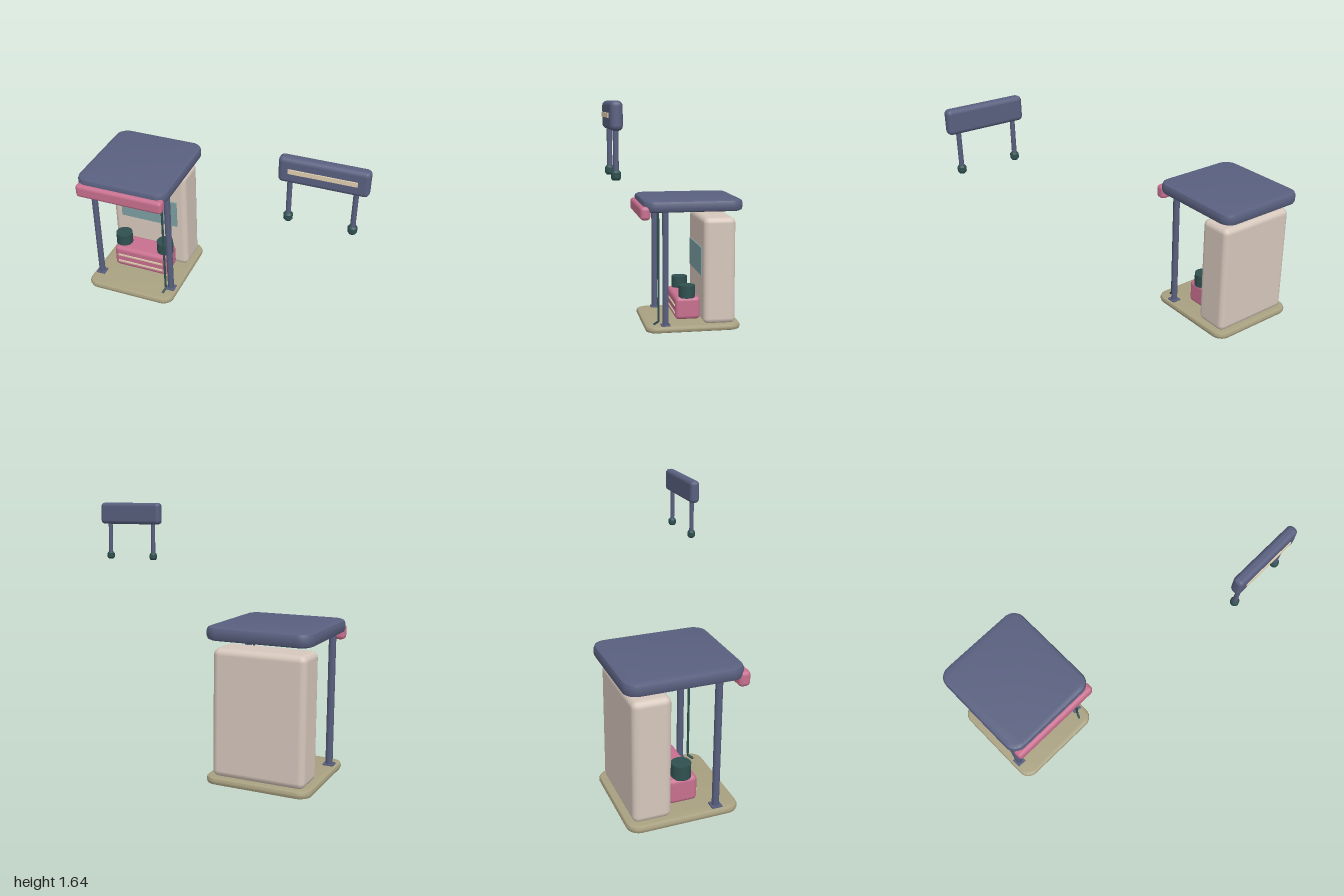
import * as THREE from 'three';
import { RoundedBoxGeometry } from 'three/addons/geometries/RoundedBoxGeometry.js';
import { toCreasedNormals } from 'three/addons/utils/BufferGeometryUtils.js';

const paint = (name, color) => {
  const m = new THREE.MeshStandardMaterial({ color });
  m.name = name;
  return m;
};

export function createModel() {
  const root = new THREE.Group();
  root.name = 'kioskAndSign';

  const navy = paint('navy', 0x59607f);
  const pink = paint('pink', 0xc8708f);
  const beige = paint('beige', 0xd6c7bc);
  const khaki = paint('khaki', 0xa8a080);
  const teal = paint('teal', 0x7c9fa2);
  const green = paint('darkGreen', 0x305050);
  const cream = paint('cream', 0xe0d0b0);

  const add = (parent, name, geometry, material, x = 0, y = 0, z = 0) => {
    const mesh = new THREE.Mesh(geometry, material);
    mesh.name = name;
    mesh.position.set(x, y, z);
    parent.add(mesh);
    return mesh;
  };

  // Box given by its limits; r > 0 rounds the edges
  const block = (parent, name, material, [x0, x1], [y0, y1], [z0, z1], r = 0) => {
    const size = [x1 - x0, y1 - y0, z1 - z0];
    const geometry = r ? new RoundedBoxGeometry(...size, 2, r) : new THREE.BoxGeometry(...size);
    return add(parent, name, geometry, material, (x0 + x1) / 2, (y0 + y1) / 2, (z0 + z1) / 2);
  };

  // Horizontal slab with rounded plan corners and bevelled rims
  const slab = (parent, name, material, [x0, x1], [y0, y1], [z0, z1], corner, bevel) => {
    const w = (x1 - x0) / 2 - bevel, d = (z1 - z0) / 2 - bevel, r = corner - bevel;
    const s = new THREE.Shape();
    s.absarc(w - r, d - r, r, 0, Math.PI / 2);
    s.absarc(r - w, d - r, r, Math.PI / 2, Math.PI);
    s.absarc(r - w, r - d, r, Math.PI, Math.PI * 1.5);
    s.absarc(w - r, r - d, r, Math.PI * 1.5, Math.PI * 2);
    const g = new THREE.ExtrudeGeometry(s, {
      depth: y1 - y0 - 2 * bevel, bevelThickness: bevel, bevelSize: bevel,
      bevelSegments: 2, curveSegments: 6,
    });
    g.translate(0, 0, bevel).rotateX(-Math.PI / 2);
    return add(parent, name, toCreasedNormals(g, 0.6), material, (x0 + x1) / 2, y0, (z0 + z1) / 2);
  };

  // Kiosk shell
  const kiosk = new THREE.Group();
  kiosk.name = 'kiosk';
  root.add(kiosk);
  slab(kiosk, 'base', khaki, [-1, -0.345], [0, 0.047], [-0.525, 0.17], 0.08, 0.02);
  slab(kiosk, 'roof', navy, [-1, -0.345], [0.865, 0.947], [-0.537, 0.178], 0.085, 0.025);
  block(kiosk, 'awning', pink, [-0.985, -0.357], [0.812, 0.907], [0.133, 0.205], 0.025);
  block(kiosk, 'cabinet', beige, [-0.96, -0.385], [0.04, 0.815], [-0.487, -0.252], 0.04);
  block(kiosk, 'window', teal, [-0.89, -0.452], [0.39, 0.595], [-0.252, -0.243]);
  add(kiosk, 'lamp', new THREE.CylinderGeometry(0.028, 0.028, 0.01, 16), cream, -0.5, 0.861, -0.028);

  // Front posts with foot plates
  for (const x of [-0.947, -0.396]) {
    add(kiosk, 'post', new THREE.CylinderGeometry(0.022, 0.022, 0.83, 10), navy, x, 0.46, 0.025);
    block(kiosk, 'postFoot', navy, [x - 0.032, x + 0.032], [0.045, 0.055], [-0.007, 0.057]);
  }

  // Thin cable running down beside one post and kinking out at the foot
  const cable = new THREE.CurvePath();
  const points = [[-0.415, 0.875, 0.073], [-0.415, 0.075, 0.073], [-0.428, 0.05, 0.105]]
    .map((p) => new THREE.Vector3(...p));
  cable.add(new THREE.LineCurve3(points[0], points[1]));
  cable.add(new THREE.LineCurve3(points[1], points[2]));
  add(kiosk, 'cable', new THREE.TubeGeometry(cable, 40, 0.008, 8), green);

  // Counter chest with two trim stripes and two canisters
  block(kiosk, 'chest', pink, [-0.88, -0.463], [0.063, 0.228], [-0.243, -0.06], 0.028);
  for (const y of [0.112, 0.167]) {
    block(kiosk, 'chestStripe', cream, [-0.847, -0.497], [y - 0.006, y + 0.006], [-0.061, -0.053]);
  }
  for (const x of [-0.834, -0.51]) {
    add(kiosk, 'canister', new THREE.CylinderGeometry(0.06, 0.06, 0.09, 20), green, x, 0.267, -0.15);
  }

  // Floating sign on two legs
  const sign = new THREE.Group();
  sign.name = 'sign';
  root.add(sign);
  block(sign, 'signPanel', navy, [0.502, 1], [1.482, 1.637], [0.461, 0.53], 0.027);
  block(sign, 'signStripe', cream, [0.56, 0.938], [1.549, 1.575], [0.529, 0.537]);
  const footProfile = [[0, 0], [0.018, 0], [0.027, 0.012], [0.027, 0.04], [0.018, 0.052], [0, 0.052]]
    .map((p) => new THREE.Vector2(...p));
  for (const x of [0.566, 0.93]) {
    add(sign, 'signLeg', new THREE.CylinderGeometry(0.015, 0.015, 0.24, 12), navy, x, 1.38, 0.495);
    add(sign, 'signFoot', toCreasedNormals(new THREE.LatheGeometry(footProfile, 12), 0.6), green, x, 1.224, 0.495);
  }

  return root;
}
